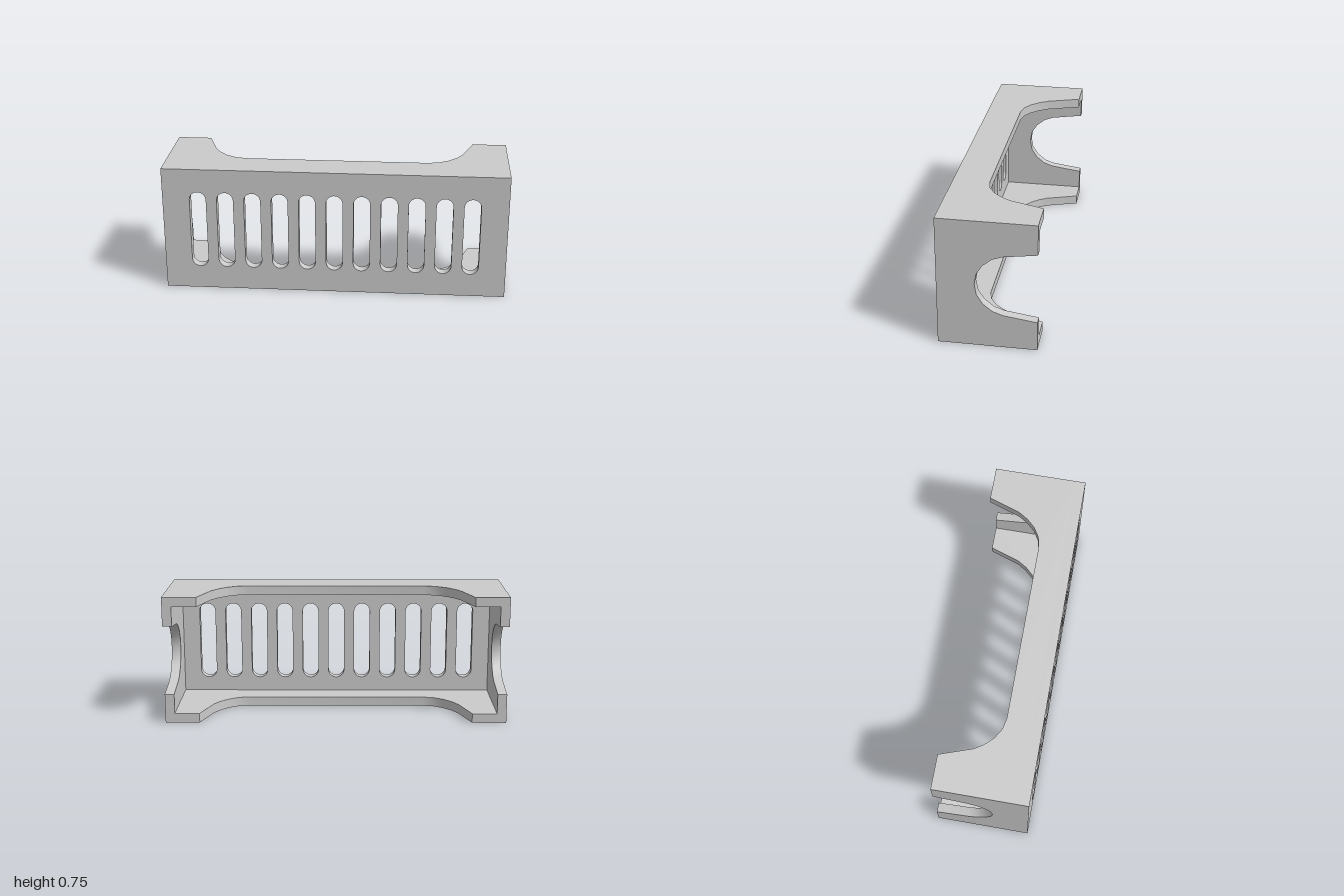
import * as THREE from 'three';
import { toCreasedNormals } from 'three/addons/utils/BufferGeometryUtils.js';

const W = 2, H = 0.75, Z = 0.2725, T = 0.055; // width, height, half depth, wall thickness
const material = new THREE.MeshStandardMaterial({ color: 0xcccccc });

const shapeOf = (points) => new THREE.Shape(points.map(([x, y]) => new THREE.Vector2(x, y)));

function panel(name, shape) {
  const geometry = new THREE.ExtrudeGeometry(shape, { depth: T, bevelEnabled: false, curveSegments: 10 });
  const mesh = new THREE.Mesh(toCreasedNormals(geometry, 0.5), material);
  mesh.name = name;
  return mesh;
}

// Upright slot with rounded ends
function slot(cx, bottom, top, r) {
  const path = new THREE.Path();
  path.absarc(cx, top - r, r, 0, Math.PI, false);
  path.absarc(cx, bottom + r, r, Math.PI, Math.PI * 2, false);
  path.closePath();
  return path;
}

export function createModel() {
  const group = new THREE.Group();
  group.name = 'slottedHousing';

  // Front wall with a row of eleven slots
  const front = shapeOf([[-W / 2, 0], [W / 2, 0], [W / 2, H], [-W / 2, H]]);
  for (let i = -5; i <= 5; i++) front.holes.push(slot(i * 0.1588, 0.14, 0.61, 0.048));
  const frontWall = panel('frontWall', front);
  frontWall.position.z = Z - T;
  group.add(frontWall);

  // Top and bottom plates, cut away at the back; shape is in x and z
  const halfCut = [[0.8, -Z], [0.735, -0.085], [0.7, -0.03], [0.655, 0.017], [0.597, 0.052], [0.53, 0.066]];
  const plate = shapeOf([
    [-W / 2, Z - T], [-W / 2, -Z],
    ...halfCut.map(([x, z]) => [-x, z]), ...[...halfCut].reverse(),
    [W / 2, -Z], [W / 2, Z - T],
  ]);
  for (const [name, y] of [['topPlate', H], ['bottomPlate', T]]) {
    const mesh = panel(name, plate);
    mesh.rotation.x = Math.PI / 2;
    mesh.position.y = y;
    group.add(mesh);
  }

  // End walls with a rounded opening at the back; shape is in z and y
  const arch = [[-Z, 0.203], [-0.087, 0.177], [-0.03, 0.157], [0.022, 0.115], [0.055, 0.062]];
  const end = shapeOf([
    [Z - T, T], [Z - T, H - T], [-Z, H - T],
    ...arch.map(([z, y]) => [z, H / 2 + y]), [0.066, H / 2],
    ...[...arch].reverse().map(([z, y]) => [z, H / 2 - y]),
    [-Z, T],
  ]);
  for (const [name, x] of [['leftWall', W / 2], ['rightWall', -W / 2 + T]]) {
    const mesh = panel(name, end);
    mesh.rotation.y = -Math.PI / 2;
    mesh.position.x = x;
    group.add(mesh);
  }
  return group;
}
